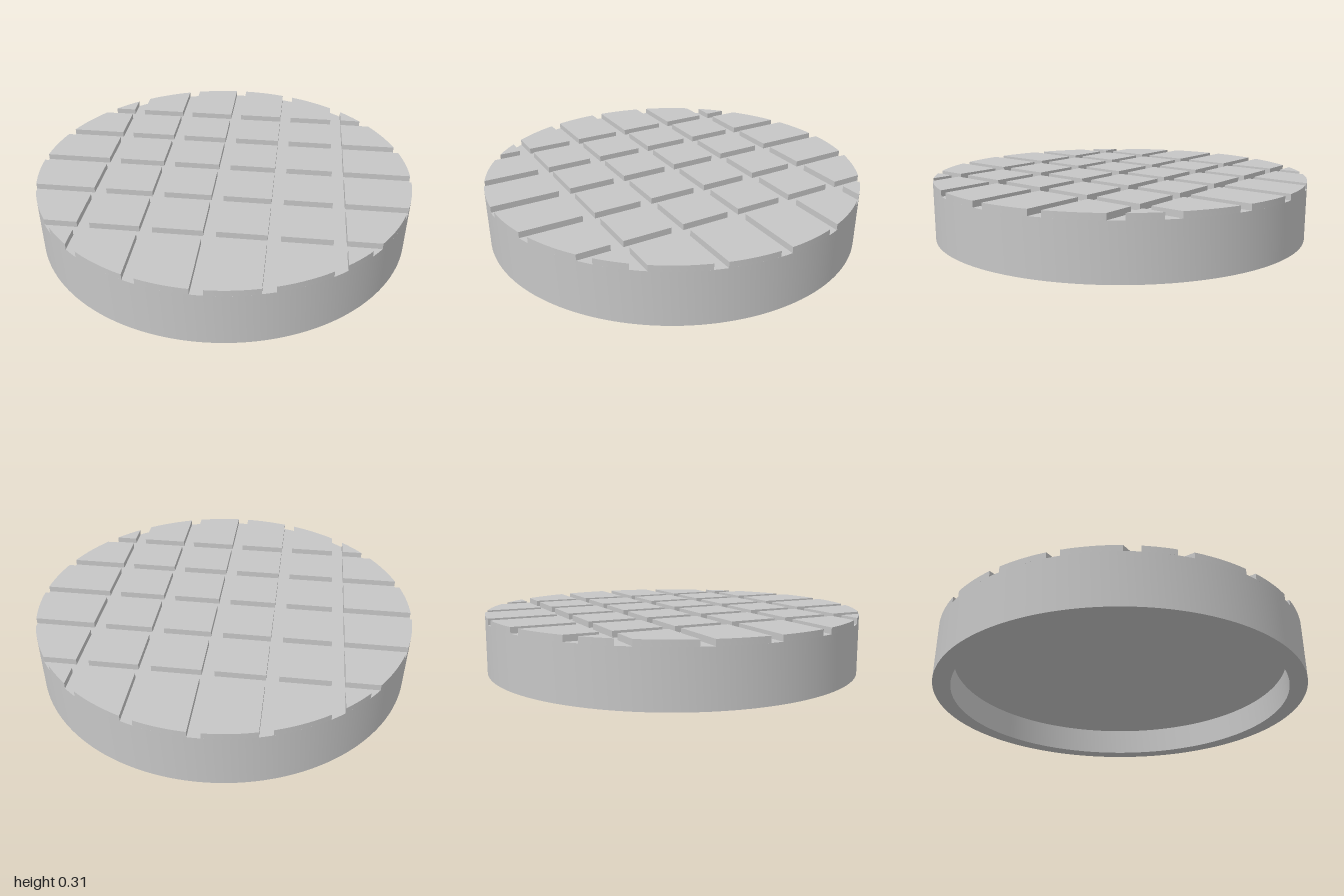
import * as THREE from 'three';
import { toCreasedNormals } from 'three/addons/utils/BufferGeometryUtils.js';

const R = 1, INNER = 0.908;                    // outer and recess radius
const TOP = 0.308, FLOOR = 0.277, CEIL = 0.154; // tread top, groove floor, recess ceiling
const PITCH = 0.308, HALF = 0.031;             // groove spacing and half width

const onCircle = (v) => Math.sqrt(R * R - v * v);

// Outline of one tread cell in the first quadrant, trimmed by the rim
function cellOutline(i, j) {
  const x0 = i * PITCH + HALF, y0 = j * PITCH + HALF;
  const x1 = i === 2 ? R : (i + 1) * PITCH - HALF;
  const y1 = j === 2 ? R : (j + 1) * PITCH - HALF;
  if (Math.hypot(x1, y1) <= R) return [[x0, y0], [x1, y0], [x1, y1], [x0, y1]];
  const pts = [[x0, y0]];
  const cutX = Math.hypot(x1, y0) < R, cutY = Math.hypot(x0, y1) < R;
  if (cutX) pts.push([x1, y0]);
  const a0 = cutX ? Math.acos(x1) : Math.asin(y0);
  const a1 = cutY ? Math.asin(y1) : Math.acos(x0);
  const n = Math.max(2, Math.ceil((a1 - a0) / 0.04));
  for (let k = 0; k <= n; k++) {
    const a = a0 + (a1 - a0) * k / n;
    pts.push([R * Math.cos(a), R * Math.sin(a)]);
  }
  if (cutY) pts.push([x0, y1]);
  return pts;
}

export function createModel() {
  const group = new THREE.Group();
  const grey = new THREE.MeshStandardMaterial({ color: 0xc6c6c6 });
  grey.name = 'light grey';

  // Hollow-bottomed disc up to the groove floor
  const profile = [[0, CEIL], [INNER, CEIL], [INNER, 0], [R, 0], [R, FLOOR], [0, FLOOR]]
    .map(([x, y]) => new THREE.Vector2(x, y));
  const body = new THREE.Mesh(toCreasedNormals(new THREE.LatheGeometry(profile, 160), 0.5), grey);
  body.name = 'discBody';
  group.add(body);

  // Raised square pads between the grooves, mirrored into four quadrants
  const pads = new THREE.Group();
  pads.name = 'treadPads';
  for (let i = 0; i < 3; i++) for (let j = 0; j < 3; j++) {
    const outline = cellOutline(i, j);
    for (const sx of [1, -1]) for (const sy of [1, -1]) {
      const shape = new THREE.Shape(outline.map(([x, y]) => new THREE.Vector2(x * sx, y * sy)));
      const geo = new THREE.ExtrudeGeometry(shape, { depth: TOP - FLOOR, bevelEnabled: false });
      geo.rotateX(-Math.PI / 2).translate(0, FLOOR, 0);
      const pad = new THREE.Mesh(toCreasedNormals(geo, 0.2), grey);
      pad.name = 'treadPad';
      pads.add(pad);
    }
  }
  group.add(pads);
  return group;
}
